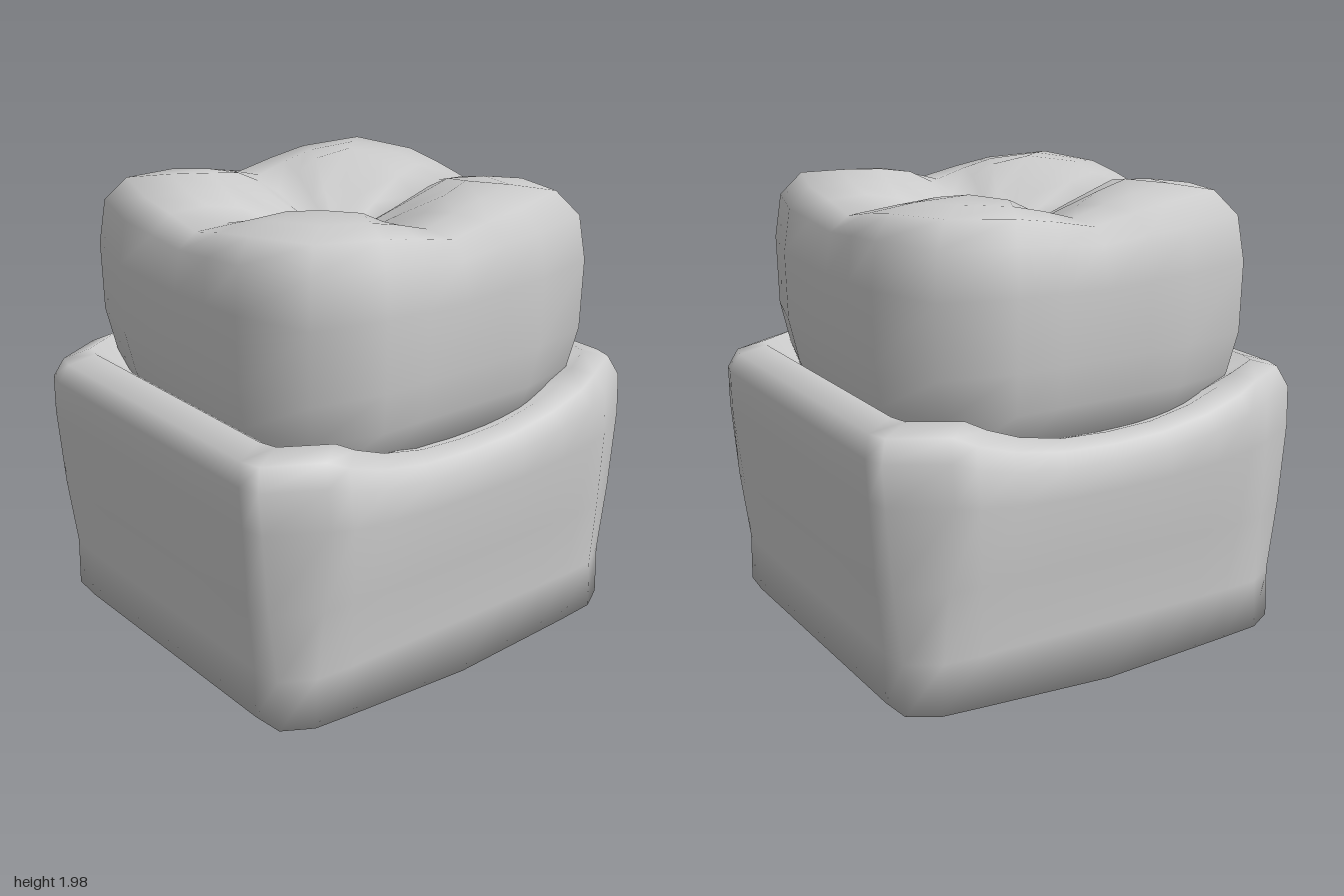
import * as THREE from 'three';

const { lerp } = THREE.MathUtils;
const material = new THREE.MeshStandardMaterial({ color: 0xcccccc, side: THREE.DoubleSide });

// Mirror a quarter outline (+x axis round to +z axis) into a closed loop
function mirrorPlan(quarter) {
  const half = [...quarter, ...quarter.slice(0, -1).reverse().map(([x, z, w]) => [-x, z, w])];
  return [...half, ...half.slice(1, -1).reverse().map(([x, z, w]) => [x, -z, w])];
}

// Skin a stack of rings; place(planPoint, ring) gives each vertex
function loft(name, plan, rings, place) {
  const n = plan.length, pos = [], index = [];
  rings.forEach((ring) => plan.forEach((p) => pos.push(...place(p, ring))));
  for (let j = 0; j < rings.length - 1; j++) {
    for (let i = 0; i < n; i++) {
      const a = j * n + i, b = j * n + (i + 1) % n, c = a + n, d = b + n;
      if (rings[j].sx !== 0) index.push(a, c, b);
      if (rings[j + 1].sx !== 0) index.push(b, c, d);
    }
  }
  const g = new THREE.BufferGeometry();
  g.setAttribute('position', new THREE.Float32BufferAttribute(pos, 3));
  g.setIndex(index);
  g.computeVertexNormals();
  const mesh = new THREE.Mesh(g, material);
  mesh.name = name;
  return mesh;
}

// Lower block: squarer foot, chamfered upper corners, rim sagging at the sides
function createBase() {
  const plan = mirrorPlan([[1, 0], [1, 0.25], [1, 0.48], [1, 0.65], [0.98, 0.75], [0.84, 0.975], [0.74, 1], [0.37, 1], [0, 1]]);
  const rings = [
    { sx: 0, sz: 0, y: 0.035, square: 0, sag: 0, curve: 1 },
    { sx: 0.86, sz: 0.92, y: 0.04, square: 0.4, sag: 0.25, curve: 1 },
    { sx: 0.86, sz: 0.92, y: 0.26, square: 0.35, sag: 0, curve: 1 },
    { sx: 0.895, sz: 0.965, y: 0.57, square: 0.15, sag: 0, curve: 1 },
    { sx: 0.925, sz: 0.995, y: 0.92, square: 0, sag: 0.4, curve: 2.5 },
    { sx: 0.91, sz: 1, y: 1.09, square: 0, sag: 0.8, curve: 2.5 },
    { sx: 0.865, sz: 0.965, y: 1.175, square: 0, sag: 1, curve: 2.5 },
    { sx: 0.81, sz: 0.85, y: 1.21, square: 0, sag: 1, curve: 2.5 },
    { sx: 0.7, sz: 0.7, y: 1.1, square: 0, sag: 0.5, curve: 2.5 },
    { sx: 0, sz: 0, y: 1.05, square: 0, sag: 0, curve: 1 },
  ];
  return loft('lowerBlock', plan, rings, ([x, z], r) => {
    // push chamfer points out towards the square corner near the foot
    const corner = Math.abs(x) > 0.8 && Math.abs(z) > 0.7 ? r.square : 0;
    const px = lerp(x, Math.sign(x), corner);
    const pz = lerp(z, Math.sign(z), corner);
    const side = 1 - Math.min(1, Math.abs(z) / 0.75) ** r.curve;
    return [px * r.sx, r.y - r.sag * 0.145 * side * Math.abs(x), pz * r.sz];
  });
}

// Upper block: four corner mounds round a dimple, with valleys along both axes
function createTop() {
  const plan = mirrorPlan([[1, 0, 0], [1, 0.25, 0.45], [1, 0.5, 0.8], [0.91, 0.88, 1], [0.51, 1, 0.8], [0.25, 1, 0.45], [0, 1, 0]]);
  const rings = [
    { sx: 0, y: 0.95, mid: 0.95 },
    { sx: 0.72, y: 1.0, mid: 1.0 },
    { sx: 0.775, y: 1.18, mid: 1.18 },
    { sx: 0.81, y: 1.36, mid: 1.36 },
    { sx: 0.815, y: 1.66, mid: 1.64 },
    { sx: 0.79, y: 1.85, mid: 1.81 },
    { sx: 0.71, y: 1.95, mid: 1.87 },
    { sx: 0.56, y: 1.97, mid: 1.88 },
    { sx: 0.42, y: 1.98, mid: 1.83 },
    { sx: 0.25, y: 1.87, mid: 1.77 },
    { sx: 0.12, y: 1.775, mid: 1.74 },
    { sx: 0, y: 1.73, mid: 1.73 },
  ];
  const mesh = loft('upperBlock', plan, rings, ([x, z, w], r) =>
    [x * r.sx, lerp(r.mid, r.y, w), z * r.sx * 1.01]);
  mesh.position.x = 0.01;
  return mesh;
}

export function createModel() {
  const model = new THREE.Group();
  model.name = 'stackedBlocks';
  model.add(createBase(), createTop());
  return model;
}
